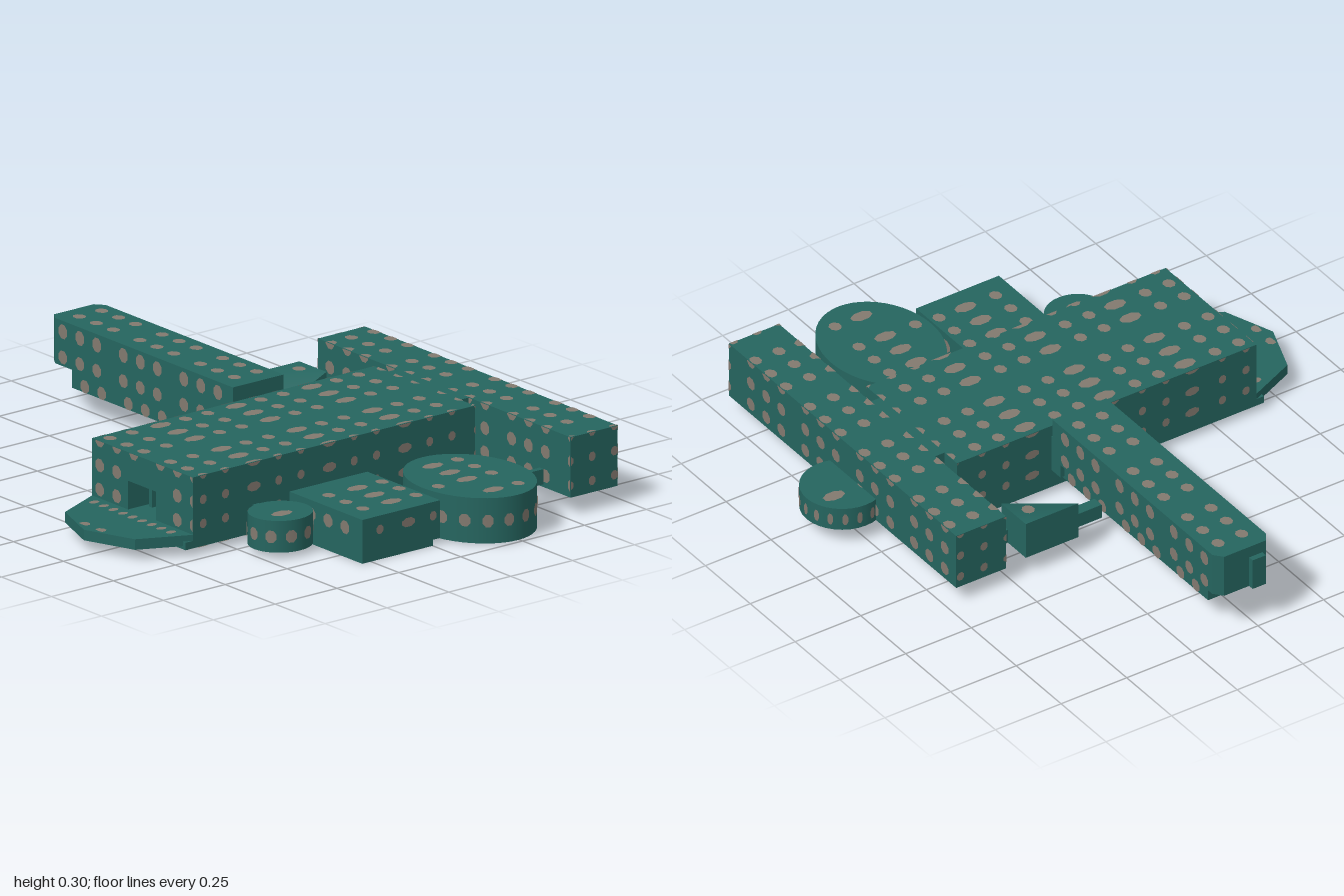
import * as THREE from 'three';
import { mergeGeometries } from 'three/addons/utils/BufferGeometryUtils.js';

export function createModel() {
  const root = new THREE.Group();
  const hull = new THREE.MeshStandardMaterial({ color: 0x25655f, side: THREE.DoubleSide });
  const spot = new THREE.MeshStandardMaterial({ color: 0x82796f, side: THREE.DoubleSide });
  hull.name = 'dark teal hull';
  spot.name = 'warm grey spots';
  const spots = [];

  const add = (name, geo, mat = hull) => {
    const m = new THREE.Mesh(geo, mat);
    m.name = name;
    root.add(m);
    return m;
  };
  const box = (name, x0, x1, y0, y1, z0, z1) => add(name,
    new THREE.BoxGeometry(x1 - x0, y1 - y0, z1 - z0).translate((x0 + x1) / 2, (y0 + y1) / 2, (z0 + z1) / 2));
  // Flat outline in x and z, raised from y0 to y1
  const slab = (name, pts, y0, y1) => {
    const s = new THREE.Shape(pts.map(([x, z]) => new THREE.Vector2(x, -z)));
    return add(name, new THREE.ExtrudeGeometry(s, { depth: y1 - y0, bevelEnabled: false })
      .rotateX(-Math.PI / 2).translate(0, y0, 0));
  };
  const drum = (name, cx, cz, rx, rz, y0, y1, sides) => add(name,
    new THREE.CylinderGeometry(1, 1, y1 - y0, sides).scale(rx, 1, rz).translate(cx, (y0 + y1) / 2, cz));

  // Regular spot spacing, as [centre, half size], along each axis
  const grid = { x: [], y: [[0.10, 0.021], [0.18, 0.021], [0.265, 0.023]], z: [] };
  for (let k = -4; k <= 4; k++) {
    for (const d of [0, 0.085, 0.17]) grid.x.push([d + 0.303 * k, 0.021]);
    for (const [d, h] of [[-0.09, 0.019], [0, 0.019], [0.1, 0.036]]) grid.z.push([d + 0.305 * k, h]);
  }
  // One rounded spot, clipped to a rectangle, mapped to space by place(u, v)
  const addSpot = (u, hu, v, hv, [u0, u1, v0, v1], place) => {
    const g = new THREE.CircleGeometry(1.1, 8, Math.PI / 8);
    const p = g.attributes.position;
    const clamp = THREE.MathUtils.clamp;
    for (let i = 0; i < p.count; i++) {
      p.setXYZ(i, ...place(clamp(u + p.getX(i) * hu, u0, u1), clamp(v + p.getY(i) * hv, v0, v1)));
    }
    g.computeVertexNormals();
    spots.push(g);
  };
  // Spots over a flat rectangle facing along one axis
  const spotFace = (axis, level, r, inside = () => true) => {
    const [a, b] = { x: ['z', 'y'], y: ['x', 'z'], z: ['x', 'y'] }[axis];
    const place = (u, v) => axis === 'x' ? [level, v, u] : axis === 'y' ? [u, level, v] : [u, v, level];
    const k = axis === 'x' ? 0.7 : 1;
    for (const [u, hu] of grid[a]) for (const [v, hv] of grid[b]) {
      if (u + hu * 0.7 < r[0] || u - hu * 0.7 > r[1] || v + hv * 0.7 < r[2] || v - hv * 0.7 > r[3]) continue;
      if (inside(u, v)) addSpot(u, hu * k, v, hv * k, r, place);
    }
  };
  const E = 0.002;
  const spotBox = (x0, x1, y0, y1, z0, z1, faces) => {
    if (faces.includes('T')) spotFace('y', y1 + E, [x0, x1, z0, z1]);
    if (faces.includes('D')) spotFace('y', y0 - E, [x0, x1, z0, z1]);
    if (faces.includes('F')) spotFace('z', z1 + E, [x0, x1, y0, y1],
      (x, y) => !(z1 === 0.65 && x > 0.11 && x < 0.31 && y < 0.2));
    if (faces.includes('B')) spotFace('z', z0 - E, [x0, x1, y0, y1]);
    if (faces.includes('L')) spotFace('x', x1 + E, [z0, z1, y0, y1]);
    if (faces.includes('R')) spotFace('x', x0 - E, [z0, z1, y0, y1]);
  };
  // Spots around a drum wall and on its top
  const spotDrum = (cx, cz, rx, rz, y0, y1, n, w) => {
    const ym = (y0 + y1) / 2;
    for (let i = 0; i < n; i++) {
      addSpot((i + 0.5) * Math.PI * 2 / n, w / Math.max(rx, rz), ym, 0.02, [-9, 9, y0, y1],
        (a, y) => [cx + (rx + 0.003) * Math.cos(a), y, cz + (rz + 0.003) * Math.sin(a)]);
    }
    spotFace('y', y1 + E, [cx - rx, cx + rx, cz - rz, cz + rz],
      (x, z) => ((x - cx) / rx) ** 2 + ((z - cz) / rz) ** 2 < 0.6);
  };

  // Long main hall, with a doorway cut into the front end
  box('mainHall', -0.04, 0.465, 0.025, 0.26, -0.49, 0.55);
  const front = new THREE.Shape([[-0.04, 0.025], [0.465, 0.025], [0.465, 0.26], [-0.04, 0.26]]
    .map(p => new THREE.Vector2(...p)));
  front.holes.push(new THREE.Path([[0.14, 0.07], [0.14, 0.165], [0.28, 0.165], [0.28, 0.07]]
    .map(p => new THREE.Vector2(...p))));
  add('frontWall', new THREE.ExtrudeGeometry(front, { depth: 0.1, bevelEnabled: false }).translate(0, 0, 0.55));
  spotBox(-0.04, 0.465, 0.025, 0.26, -0.49, 0.65, 'TDFLR');
  for (const x of [0.165, 0.255]) box('doorPost', x - 0.008, x + 0.008, 0.07, 0.165, 0.56, 0.58);
  box('rearNeck', 0.03, 0.39, 0.06, 0.26, -0.53, -0.48);

  // Pointed terrace before the doorway
  slab('terrace', [[-0.04, 0.65], [0.465, 0.65], [0.385, 0.82], [0.21, 0.885], [0.035, 0.82]], 0.035, 0.07);
  box('terraceStep', -0.04, 0.465, 0.025, 0.05, 0.64, 0.68);
  for (let i = 0; i < 9; i++) {
    addSpot(0.02 + i * 0.048, 0.012, 0.69, 0.017, [-1, 1, 0.65, 0.8], (x, z) => [x, 0.072, z]);
  }
  for (const x of [0.17, 0.25]) addSpot(x, 0.018, 0.85, 0.017, [0, 1, 0.8, 0.86], (u, z) => [u, 0.072, z]);

  // Crosswise rear hall and its round apse
  box('rearHall', -0.365, 0.9, 0.06, 0.26, -0.715, -0.525);
  spotBox(-0.365, 0.9, 0.06, 0.26, -0.715, -0.525, 'TFBLR');
  drum('rearApse', 0.21, -0.757, 0.135, 0.135, 0.06, 0.14, 32);
  spotDrum(0.21, -0.757, 0.135, 0.135, 0.06, 0.14, 18, 0.009);

  // Long side wing with chamfered end, undercroft and end nub
  slab('sideWing', [[-0.06, -0.14], [-0.06, 0.065], [-0.95, 0.065], [-0.98, 0.045], [-0.98, -0.115], [-0.95, -0.14]],
    0.15, 0.3);
  spotBox(-0.95, -0.09, 0.15, 0.3, -0.14, 0.065, 'TFB');
  box('wingUndercroft', -0.89, -0.04, 0.08, 0.15, -0.115, 0.045);
  spotBox(-0.89, -0.05, 0.08, 0.14, -0.115, 0.045, 'FBD');
  box('wingEndNub', -1, -0.97, 0.15, 0.26, -0.02, 0.03);
  for (let i = 0; i < 5; i++) box('wingJoint', -0.09, -0.03, 0.09, 0.22, -0.13 + i * 0.04, -0.1 + i * 0.04);

  // Small annex with one roof corner falling away
  const annex = box('annex', -0.365, -0.23, 0.07, 0.2, -0.45, -0.25);
  const ap = annex.geometry.attributes.position;
  for (let i = 0; i < ap.count; i++) {
    if (ap.getY(i) > 0.15 && ap.getX(i) > -0.3 && ap.getZ(i) > -0.3) ap.setY(i, 0.11);
  }
  annex.geometry.computeVertexNormals();
  addSpot(-0.305, 0.021, -0.4, 0.019, [-1, 1, -1, 1], (x, z) => [x, 0.202, z]);

  // Oval hall, square hall and round pavilion on the other side
  drum('ovalHall', 0.755, -0.235, 0.24, 0.19, 0.005, 0.155, 48);
  spotDrum(0.755, -0.235, 0.24, 0.19, 0.005, 0.155, 18, 0.02);
  box('squareHall', 0.495, 0.86, 0.02, 0.145, -0.03, 0.285);
  spotBox(0.495, 0.86, 0.02, 0.145, -0.03, 0.285, 'TFLB');
  box('squareHallBase', 0.5, 0.86, 0, 0.02, 0, 0.285);
  drum('roundPavilion', 0.58, 0.39, 0.1, 0.105, 0.02, 0.125, 32);
  spotDrum(0.58, 0.39, 0.1, 0.105, 0.02, 0.125, 10, 0.018);

  // Narrow covered links between the halls
  [[-0.265, -0.245, -0.53, -0.44], [-0.32, -0.28, -0.26, -0.13], [0.745, 0.765, -0.53, -0.42],
    [0.46, 0.53, -0.245, -0.225], [0.46, 0.5, 0.385, 0.41]]
    .forEach(([x0, x1, z0, z1]) => box('link', x0, x1, 0.07, 0.12, z0, z1));

  add('windowSpots', mergeGeometries(spots), spot);
  return root;
}
